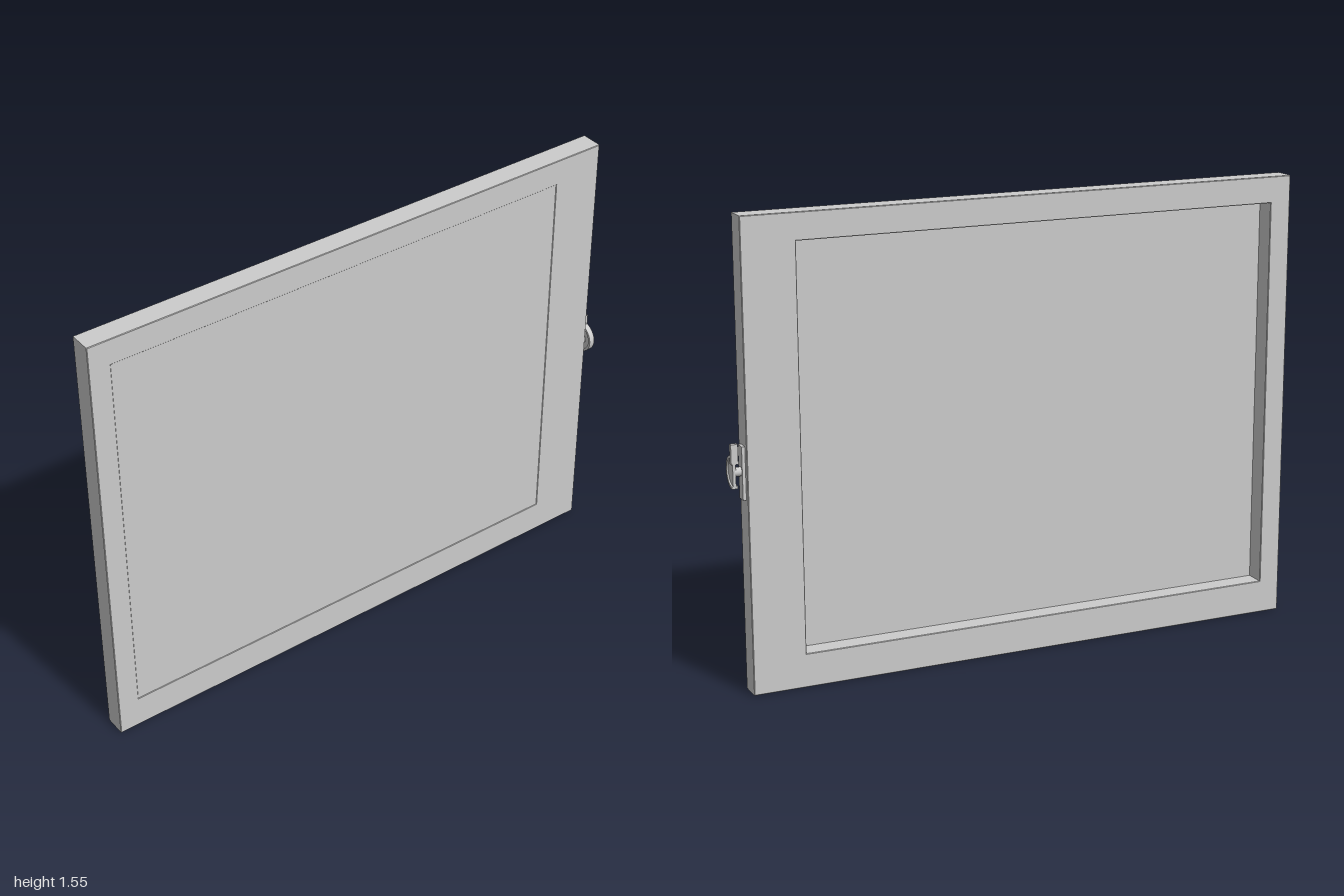
import * as THREE from 'three';

const material = new THREE.MeshStandardMaterial({ color: 0xcccccc });

function add(parent, name, geometry, x = 0, y = 0, z = 0) {
  const mesh = new THREE.Mesh(geometry, material);
  mesh.name = name;
  mesh.position.set(x, y, z);
  parent.add(mesh);
  return mesh;
}

function rectangle(path, x0, y0, x1, y1) {
  path.moveTo(x0, y0);
  path.lineTo(x1, y0);
  path.lineTo(x1, y1);
  path.lineTo(x0, y1);
  path.closePath();
  return path;
}

// Extrudes a shape drawn in (-z, y) outward along +x.
function sideways(shape, x0, x1) {
  const geometry = new THREE.ExtrudeGeometry(shape, { depth: x1 - x0, bevelEnabled: false, curveSegments: 20 });
  return geometry.rotateY(Math.PI / 2).translate(x0, 0, 0);
}

export function createModel() {
  const model = new THREE.Group();
  model.name = 'windowSash';

  // Sash frame with a wider stile on the latch side and finely eased edges
  const outline = rectangle(new THREE.Shape(), -1, 0, 0.955, 1.555);
  outline.holes.push(rectangle(new THREE.Path(), -0.925, 0.115, 0.775, 1.465));
  const ease = 0.002;
  const frame = new THREE.ExtrudeGeometry(outline, {
    depth: 0.078 - 2 * ease, bevelThickness: ease, bevelSize: ease, bevelOffset: -ease, bevelSegments: 1,
  });
  add(model, 'frame', frame, 0, 0, -0.039 + ease);

  // Pane set almost flush with the front, leaving a deep recess behind
  add(model, 'pane', new THREE.BoxGeometry(1.7, 1.35, 0.006), -0.075, 0.79, 0.034);

  // Crescent latch on the +x edge
  const latch = new THREE.Group();
  latch.name = 'latch';
  model.add(latch);
  add(latch, 'latchPlate', new THREE.BoxGeometry(0.011, 0.175, 0.036), 0.96, 0.738, -0.003);
  const hub = new THREE.CylinderGeometry(0.015, 0.015, 0.025, 20).rotateZ(Math.PI / 2);
  add(latch, 'latchHub', hub, 0.9755, 0.742, -0.003);

  // Half-round cam, bulging towards the front
  const radius = 0.055, cy = 0.745, cu = 0.016;
  const cam = new THREE.Shape();
  cam.absarc(cu, cy, radius, Math.PI / 2, Math.PI * 1.5, false);
  cam.closePath();
  add(latch, 'latchCam', sideways(cam, 0.985, 0.995));

  // Raised rim around the cam
  const rim = new THREE.Shape();
  rim.absarc(cu, cy, radius, Math.PI / 2, Math.PI * 1.5, false);
  rim.absarc(cu, cy, radius - 0.009, Math.PI * 1.5, Math.PI / 2, true);
  rim.closePath();
  add(latch, 'latchRim', sideways(rim, 0.98, 1));

  // Finger lever standing above the cam
  add(latch, 'latchLever', new THREE.BoxGeometry(0.023, 0.065, 0.016), 0.9885, 0.8025, -0.011);

  return model;
}
